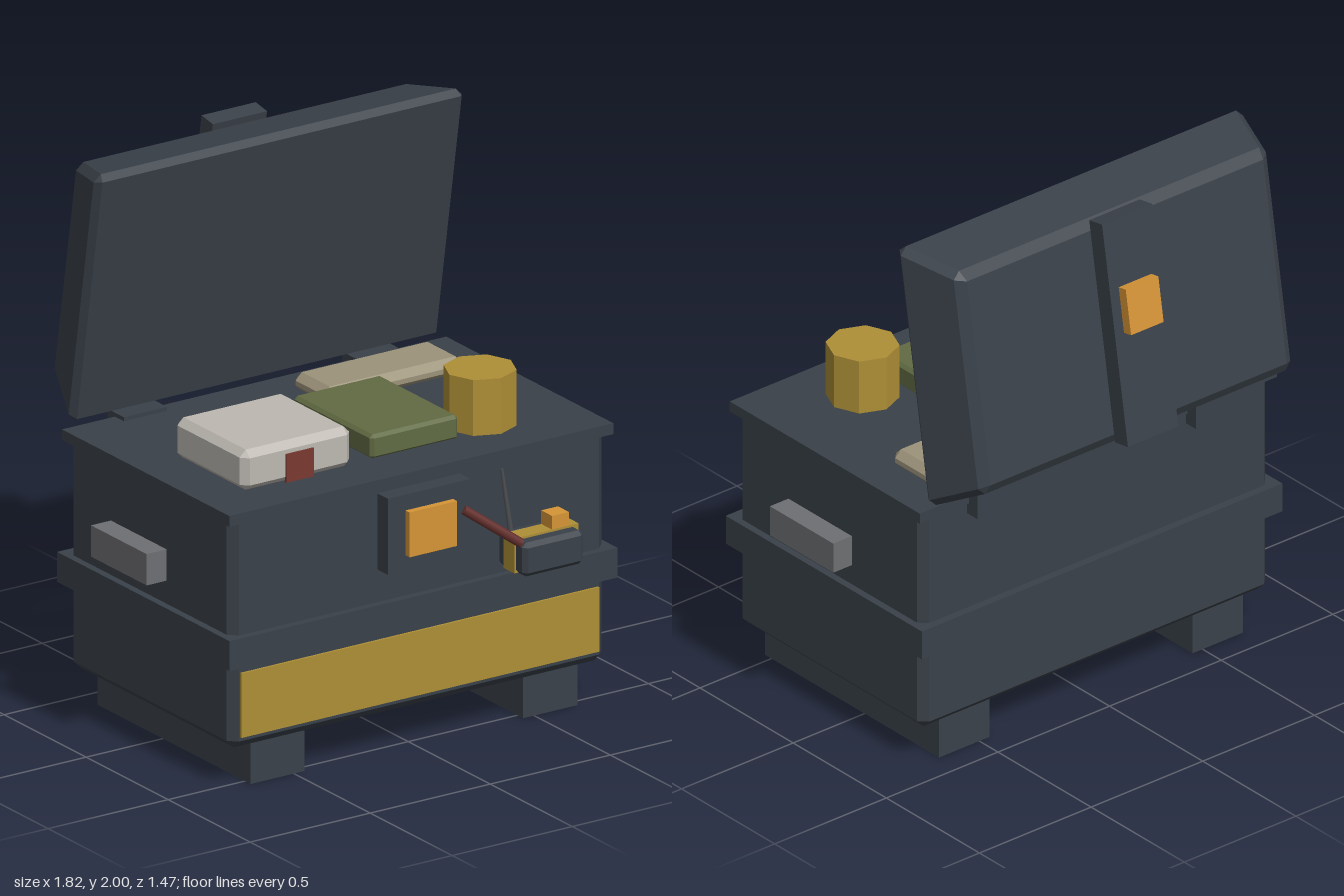
import * as THREE from 'three';
import { ConvexGeometry } from 'three/addons/geometries/ConvexGeometry.js';

const mat = (name, color) => {
  const m = new THREE.MeshStandardMaterial({ color });
  m.name = name;
  return m;
};

// Box with bevelled edges; taper shrinks the back (-z) on x and y
function bevelBox(w, h, d, c, taper = 0) {
  const pts = [];
  for (const sx of [-1, 1]) for (const sy of [-1, 1]) for (const sz of [-1, 1]) {
    for (const [a, b, e] of [[0, c, c], [c, 0, c], [c, c, 0]]) {
      const z = d / 2 - e;
      const inset = taper * (d / 2 - sz * z) / d;
      pts.push(new THREE.Vector3(sx * (w / 2 - a - inset), sy * (h / 2 - b - inset), sz * z));
    }
  }
  return new ConvexGeometry(pts);
}

export function createModel() {
  const dark = mat('charcoal', 0x3a4149);
  const gold = mat('mustard', 0xae8f36);
  const orange = mat('orange', 0xd69537);
  const white = mat('offWhite', 0xbdb8b1);
  const green = mat('olive', 0x616b43);
  const tan = mat('tan', 0x9c937a);
  const red = mat('brickRed', 0x7a3a32);
  const maroon = mat('maroon', 0x66302d);
  const grey = mat('grey', 0x6e6f72);
  const wire = mat('wireGrey', 0x4b4e52);

  const model = new THREE.Group();
  model.name = 'supplyCrate';

  const add = (name, geometry, material, x, y, z, parent = model) => {
    const mesh = new THREE.Mesh(geometry, material);
    mesh.name = name;
    mesh.position.set(x, y, z);
    parent.add(mesh);
    return mesh;
  };
  // Box given by its limits on each axis, with an optional bevel
  const block = (name, material, [x0, x1], [y0, y1], [z0, z1], bevel = 0, parent = model) => {
    const size = [x1 - x0, y1 - y0, z1 - z0];
    const g = bevel ? bevelBox(...size, bevel) : new THREE.BoxGeometry(...size);
    return add(name, g, material, (x0 + x1) / 2, (y0 + y1) / 2, (z0 + z1) / 2, parent);
  };
  // Thin rod between two points
  const rod = (name, material, from, to, r0, r1, sides) => {
    const a = new THREE.Vector3(...from), b = new THREE.Vector3(...to);
    const dir = b.clone().sub(a);
    const g = new THREE.CylinderGeometry(r1, r0, dir.length(), sides);
    const mid = a.add(b).multiplyScalar(0.5);
    const mesh = add(name, g, material, mid.x, mid.y, mid.z);
    mesh.quaternion.setFromUnitVectors(new THREE.Vector3(0, 1, 0), dir.normalize());
  };

  // Crate shell
  block('body', dark, [-0.78, 0.78], [0.15, 1.02], [-0.43, 0.565], 0.03);
  block('rim', dark, [-0.8, 0.8], [0.985, 1.025], [-0.44, 0.58]);
  block('band', dark, [-0.807, 0.807], [0.46, 0.57], [-0.46, 0.593]);
  block('frontPanel', gold, [-0.745, 0.745], [0.195, 0.432], [0.565, 0.574]);

  // Mirrored skids, handles and hinges
  for (const s of [-1, 1]) {
    const span = (a, b) => (s > 0 ? [a, b] : [-b, -a]);
    const side = s > 0 ? 'left' : 'right';
    block(side + 'Skid', dark, span(0.455, 0.68), [0, 0.152], [-0.4, 0.535]);
    block(side + 'Handle', grey, span(0.825, 0.908), [0.685, 0.8], [-0.105, 0.235]);
    block(side + 'Hinge', dark, span(0.4, 0.58), [0.943, 1.04], [-0.485, -0.385]);
  }

  // Front latch
  block('latchPlate', dark, [-0.173, 0.17], [0.69, 0.97], [0.56, 0.63]);
  block('latchButton', orange, [-0.1, 0.098], [0.747, 0.912], [0.62, 0.655]);

  // Open lid: tapered shell with strap and buckle, leaning forward at the top
  const tilt = 0.168;
  const lidParts = [
    ['lid', bevelBox(1.55, 0.985, 0.25, 0.027, 0.085), dark, 1.536, -0.47],
    ['lidStrap', new THREE.BoxGeometry(0.226, 0.83, 0.07), dark, 1.57, -0.63],
    ['lidBuckle', new THREE.BoxGeometry(0.146, 0.17, 0.05), orange, 1.66, -0.664],
  ];
  for (const [name, g, m, y, z] of lidParts) add(name, g, m, 0, y, z).rotation.x = tilt;

  // Supplies on the top
  block('whiteCase', white, [-0.63, -0.175], [1.02, 1.17], [-0.01, 0.42], 0.025);
  block('caseLabel', red, [-0.457, -0.342], [1.025, 1.13], [0.418, 0.426]);
  block('greenBox', green, [-0.085, 0.28], [1.02, 1.11], [-0.08, 0.4], 0.012);
  block('tanPack', tan, [0.08, 0.655], [1.015, 1.085], [-0.33, -0.108], 0.026);
  const can = new THREE.CylinderGeometry(0.128, 0.128, 0.21, 8).toNonIndexed();
  can.computeVertexNormals();
  add('can', can, gold, 0.422, 1.125, 0.32);

  // Small radio hanging on the front
  block('radioBody', dark, [0.324, 0.576], [0.603, 0.727], [0.565, 0.735], 0.016);
  block('radioBand', gold, [0.318, 0.585], [0.607, 0.735], [0.615, 0.682]);
  block('radioKnob', orange, [0.475, 0.545], [0.73, 0.785], [0.615, 0.682]);
  rod('antenna', wire, [0.36, 0.72, 0.6], [0.337, 0.955, 0.577], 0.01, 0.006, 6);
  rod('cord', maroon, [0.14, 0.865, 0.632], [0.335, 0.72, 0.7], 0.017, 0.017, 6);

  return model;
}
